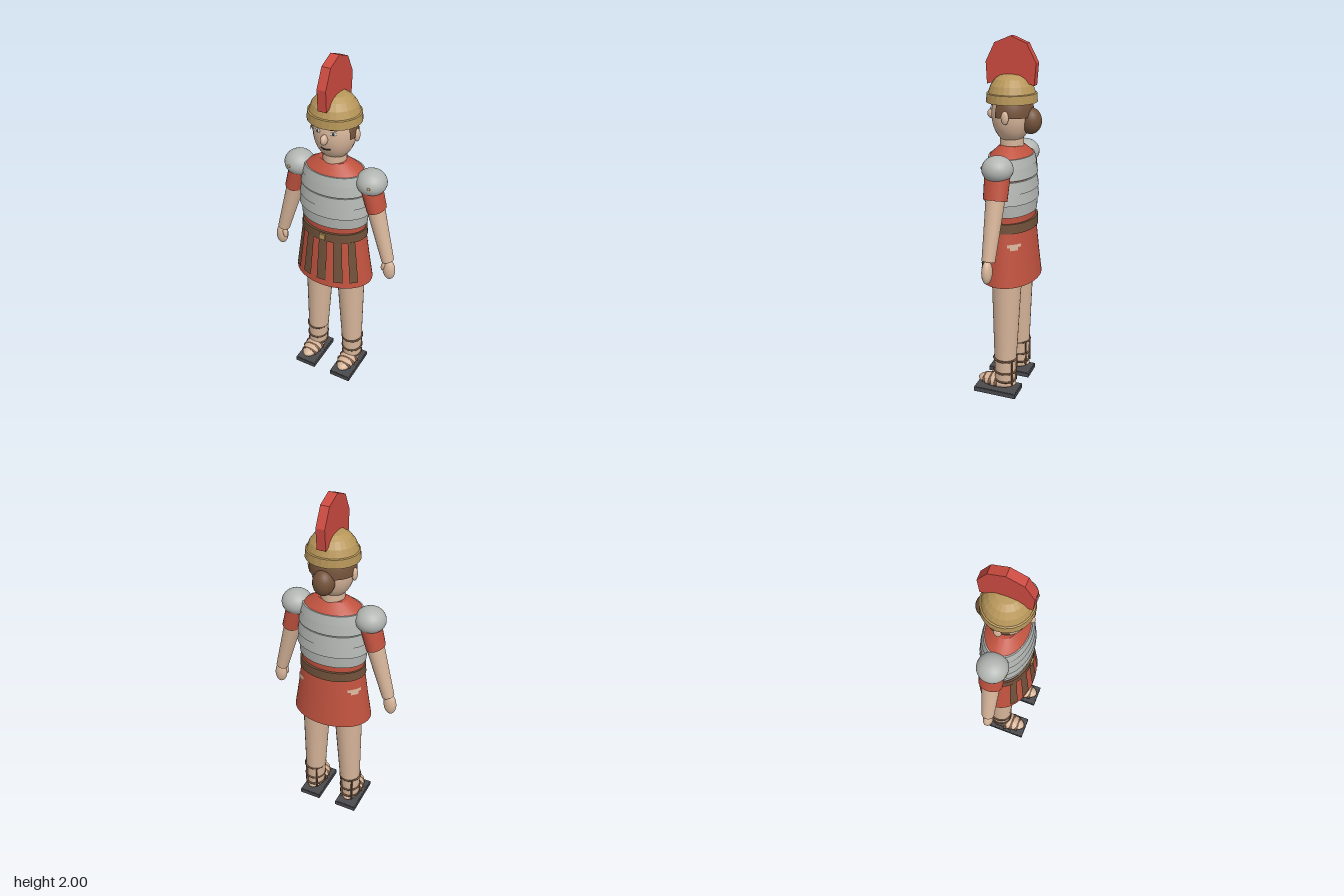
import * as THREE from 'three';
import { toCreasedNormals } from 'three/addons/utils/BufferGeometryUtils.js';

const mat = (name, color, side = THREE.FrontSide) => {
  const m = new THREE.MeshStandardMaterial({ color, side });
  m.name = name;
  return m;
};

export function createModel() {
  const skin = mat('skin', 0xd6b499);
  const cloth = mat('red cloth', 0xc0523f, THREE.DoubleSide);
  const plume = mat('plume red', 0xcb4a40);
  const steel = mat('steel', 0xb2b6b2);
  const brass = mat('brass', 0xb8975a);
  const leather = mat('leather', 0x70513a);
  const hairBrown = mat('hair', 0x73523a);
  const sole = mat('sole', 0x4a4a4d);
  const eyeWhite = mat('eye white', 0xe4e0da);
  const dark = mat('dark', 0x3b3a40);

  const model = new THREE.Group();
  const add = (name, geo, material, x = 0, y = 0, z = 0) => {
    const mesh = new THREE.Mesh(geo, material);
    mesh.name = name;
    mesh.position.set(x, y, z);
    model.add(mesh);
    return mesh;
  };
  const ball = (name, material, x, y, z, rx, ry, rz) => {
    const b = add(name, new THREE.SphereGeometry(1, 24, 16), material, x, y, z);
    b.scale.set(rx, ry, rz);
    return b;
  };
  // Oval lathe: radius is the x half-width, depth squeezes z
  const oval = (name, material, pts, depth = 0.69, segs = 48, crease = 0.5, start = 0, sweep = Math.PI * 2) => {
    const g = new THREE.LatheGeometry(pts.map(p => new THREE.Vector2(...p)), segs, start, sweep);
    g.scale(1, 1, depth);
    return add(name, toCreasedNormals(g, crease), material);
  };
  // Closed ring with its own wall thickness
  const ring = (name, material, y0, y1, r0, r1, t = 0.015, depth = 0.69) =>
    oval(name, material, [[r0 - t, y0], [r0, y0], [r1, y1], [r1 - t, y1], [r0 - t, y0]], depth);
  // Tapered round limb between two points
  const limb = (name, material, a, b, ra, rb, depth = 1) => {
    const p = new THREE.Vector3(...a), q = new THREE.Vector3(...b);
    const d = p.clone().sub(q);
    const m = add(name, new THREE.CylinderGeometry(ra, rb, d.length(), 24), material);
    m.position.copy(p.add(q).multiplyScalar(0.5));
    m.quaternion.setFromUnitVectors(new THREE.Vector3(0, 1, 0), d.normalize());
    m.scale.z = depth;
    return m;
  };

  // Tunic body, shoulders and skirt
  oval('tunicBody', cloth, [[0.178, 1.0], [0.18, 1.09], [0.183, 1.2], [0.17, 1.3], [0.163, 1.392], [0.14, 1.41], [0.085, 1.445], [0, 1.447]]);
  oval('skirt', cloth, [[0.228, 0.705], [0.205, 0.85], [0.18, 1.03]], 0.7);

  // Overlapping armour bands, bottom to top
  const bands = [
    [1.09, 1.157, 0.189, 0.194], [1.157, 1.215, 0.203, 0.193], [1.217, 1.28, 0.2, 0.188],
    [1.288, 1.35, 0.192, 0.178], [1.348, 1.396, 0.182, 0.167],
  ];
  for (const [y0, y1, r0, r1] of bands) ring('armourBand', steel, y0, y1, r0, r1, 0.02);

  // Belt, buckle and hanging strips
  ring('belt', leather, 1.002, 1.055, 0.19, 0.187, 0.02, 0.73);
  add('buckle', new THREE.BoxGeometry(0.034, 0.034, 0.012), brass, 0, 1.028, 0.14);
  for (let i = -2; i <= 2; i++) {
    const mid = i * 0.435, half = 0.125;
    oval('skirtStrip', leather, [[0.214, 0.745], [0.231, 0.745], [0.194, 1.005], [0.178, 1.005], [0.214, 0.745]],
      0.7, 4, 0.5, mid - half, half * 2).material = leather;
    // Side edges of each strip
    for (const e of [-1, 1]) {
      const a = mid + e * half, s = Math.sin(a), c = Math.cos(a) * 0.7;
      const corners = [[0.214, 0.745], [0.231, 0.745], [0.194, 1.005], [0.178, 1.005]];
      const g = new THREE.BufferGeometry();
      g.setAttribute('position', new THREE.Float32BufferAttribute(corners.flatMap(([r, y]) => [r * s, y, r * c]), 3));
      g.setIndex(e > 0 ? [0, 1, 2, 0, 2, 3] : [0, 2, 1, 0, 3, 2]);
      g.computeVertexNormals();
      add('skirtStripEdge', g, leather);
    }
  }

  // Head
  limb('neck', skin, [0, 1.52, 0], [0, 1.43, 0], 0.062, 0.064);
  ball('head', skin, 0, 1.607, 0, 0.113, 0.155, 0.106);
  ball('nose', skin, 0, 1.6, 0.112, 0.018, 0.027, 0.025);
  const hair = add('hair', new THREE.SphereGeometry(1, 32, 16, Math.PI - 0.45, Math.PI + 0.9, 0, 1.62), hairBrown, 0, 1.607, 0);
  hair.scale.set(0.123, 0.15, 0.116);
  hairBrown.side = THREE.DoubleSide;
  ball('hairBun', hairBrown, 0, 1.575, -0.105, 0.057, 0.069, 0.057);
  const mouth = new THREE.QuadraticBezierCurve3(
    new THREE.Vector3(-0.028, 1.544, 0.093), new THREE.Vector3(0, 1.535, 0.101), new THREE.Vector3(0.028, 1.544, 0.093));
  add('mouth', new THREE.TubeGeometry(mouth, 8, 0.0035, 6), dark);

  // Helmet: flared rim below a faceted dome
  oval('helmet', brass, [[0.118, 1.67], [0.142, 1.67], [0.139, 1.715], [0.131, 1.718], [0.117, 1.755],
    [0.092, 1.787], [0.062, 1.806], [0, 1.815]], 0.94, 24, 0.12);
  oval('helmetLining', brass, [[0, 1.71], [0.118, 1.67]].reverse().map(([r, y]) => [r, y]).reverse(), 0.94, 24);

  // Crest, a plate cut to follow the dome
  const crestShape = new THREE.Shape([
    [0.128, 1.757], [0.134, 1.87], [0.086, 1.965], [0, 2], [-0.086, 1.965], [-0.137, 1.87], [-0.128, 1.757],
    [-0.1, 1.765], [-0.06, 1.795], [0, 1.805], [0.06, 1.795], [0.1, 1.765],
  ].map(p => new THREE.Vector2(...p)));
  const crest = new THREE.ExtrudeGeometry(crestShape, { depth: 0.048, bevelEnabled: false });
  crest.rotateY(-Math.PI / 2).translate(0.024, 0, 0);
  add('crest', crest, plume);

  for (const s of [-1, 1]) {
    // Face details
    ball('eye', eyeWhite, s * 0.043, 1.635, 0.096, 0.017, 0.009, 0.005).rotation.y = s * 0.4;
    ball('iris', dark, s * 0.043, 1.635, 0.099, 0.007, 0.008, 0.004);
    const brow = add('eyebrow', new THREE.BoxGeometry(0.036, 0.007, 0.008), hairBrown, s * 0.045, 1.657, 0.094);
    brow.rotation.set(0, s * 0.4, -s * 0.08);
    ball('ear', skin, s * 0.122, 1.603, -0.006, 0.014, 0.035, 0.02);

    // Shoulder plate, sleeve, arm and hand
    ball('shoulderPlate', steel, s * 0.212, 1.36, 0, 0.082, 0.07, 0.082);
    ball('shoulderRivet', brass, s * 0.232, 1.365, 0.078, 0.008, 0.008, 0.006);
    limb('sleeve', cloth, [s * 0.208, 1.35, 0], [s * 0.247, 1.205, 0], 0.054, 0.05, 1.28);
    limb('arm', skin, [s * 0.23, 1.25, 0], [s * 0.328, 0.9, 0.008], 0.05, 0.034, 1.05);
    const hand = ball('hand', skin, s * 0.34, 0.843, 0.012, 0.036, 0.064, 0.028);
    hand.rotation.z = s * 0.08;
    ball('thumb', skin, s * 0.313, 0.865, 0.024, 0.014, 0.032, 0.014).rotation.z = -s * 0.2;

    // Leg and foot
    limb('leg', skin, [s * 0.094, 0.88, -0.008], [s * 0.12, 0.08, -0.003], 0.085, 0.055, 1.06);
    ball('foot', skin, s * 0.12, 0.067, 0.045, 0.054, 0.036, 0.115);
    add('sandalSole', new THREE.BoxGeometry(0.13, 0.026, 0.252), sole, s * 0.12, 0.015, 0.041);
    add('sandalSoleBase', new THREE.BoxGeometry(0.122, 0.03, 0.244), sole, s * 0.12, 0.015, 0.041);

    // Sandal straps
    for (const [y, r] of [[0.225, 0.06], [0.145, 0.058], [0.09, 0.056]]) {
      const strap = add('ankleStrap', new THREE.TorusGeometry(r, 0.006, 6, 28), leather, s * 0.119, y, -0.004);
      strap.rotation.x = Math.PI / 2;
      strap.scale.y = 1.07;
    }
    for (const a of [0.6, -0.6]) {
      add('ankleUpright', new THREE.BoxGeometry(0.012, 0.16, 0.008), leather,
        s * 0.119 + Math.sin(a) * 0.06, 0.15, -0.004 - Math.cos(a) * 0.064).rotation.y = a;
    }
    for (const z of [0.115, 0.078, 0.04]) {
      const f = Math.sqrt(1 - ((z - 0.045) / 0.115) ** 2);
      const strap = add('footStrap', new THREE.TorusGeometry(1, 0.13, 8, 20, Math.PI), leather, s * 0.12, 0.062, z);
      strap.scale.set(0.055 * f, 0.038 * f, 0.07);
    }

    // Ragged bare patch on the rear of each hip
    for (const [y0, y1, a0, a1] of [[0.926, 0.943, 0.3, 0.82], [0.91, 0.926, 0.42, 0.7]]) {
      const r = y => 0.205 - (y - 0.85) * 0.139 + 0.003;
      oval('skirtPatch', skin, [[r(y0), y0], [r(y1), y1]], 0.7, 6, 0.5,
        s > 0 ? Math.PI / 2 + a0 : Math.PI * 1.5 - a1, a1 - a0);
    }
  }
  return model;
}
